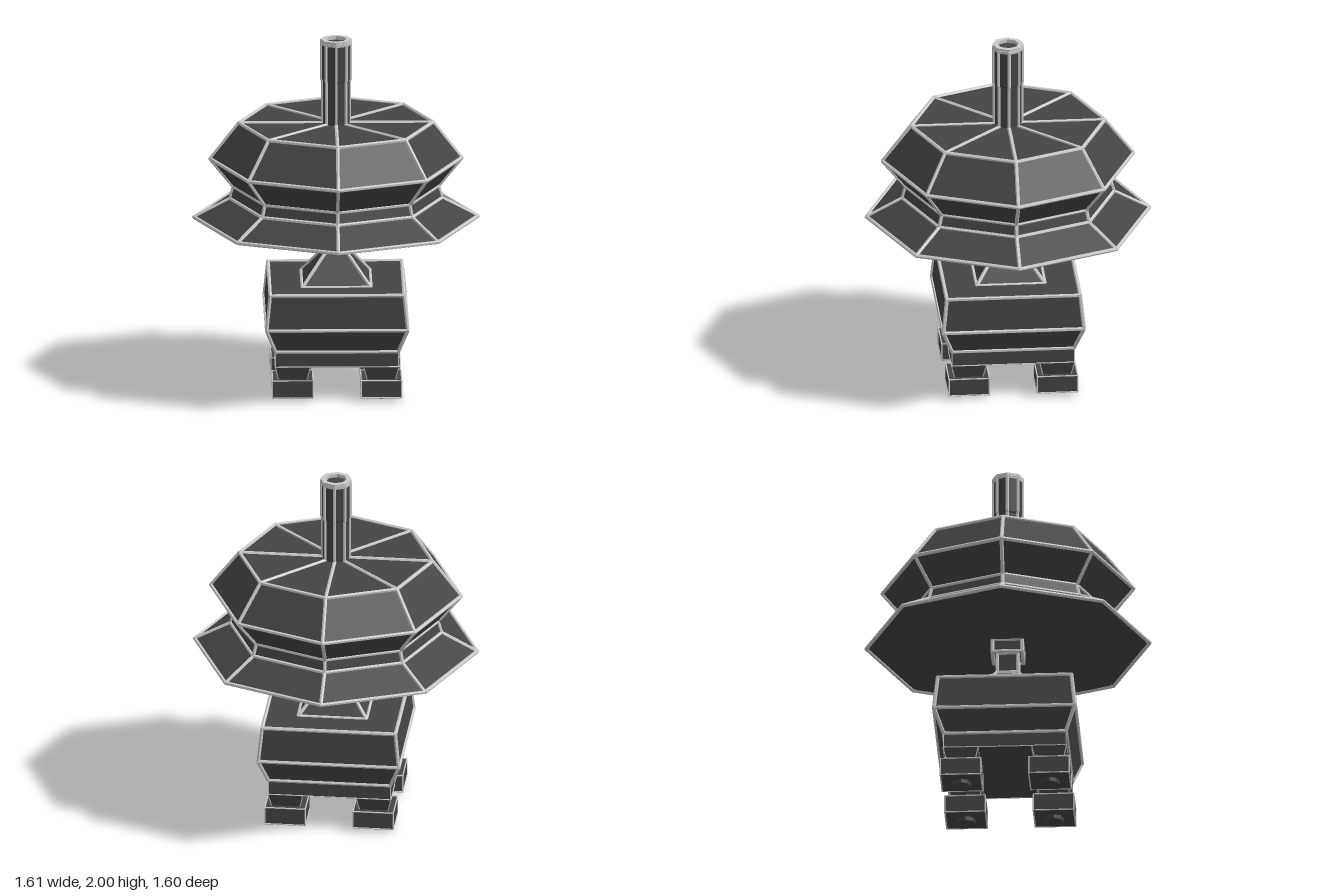
import * as THREE from 'three';
import { mergeGeometries } from 'three/addons/utils/BufferGeometryUtils.js';

const panelMat = new THREE.MeshStandardMaterial({ color: 0x444444, flatShading: true });
const trimMat = new THREE.MeshStandardMaterial({ color: 0xcccccc, flatShading: true });

// Corner i of an n-sided ring of radius r at height y
function corner(n, phase, [r, y], i) {
  const a = phase + (i / n) * Math.PI * 2;
  return new THREE.Vector3(r * Math.sin(a), y, r * Math.cos(a));
}

// Slim bar between two points
function bar(a, b, t) {
  const d = b.clone().sub(a);
  const g = new THREE.CylinderGeometry(t, t, d.length() + t * 0.6, 6);
  g.applyQuaternion(new THREE.Quaternion().setFromUnitVectors(new THREE.Vector3(0, 1, 0), d.normalize()));
  return g.translate((a.x + b.x) / 2, (a.y + b.y) / 2, (a.z + b.z) / 2);
}

// Faceted solid from [radius, y] rings listed upwards, with bars along its edges
function tiered(name, n, rings, t, { hoops = rings.map(() => true), ribs = true, capTop = true } = {}) {
  const group = new THREE.Group();
  group.name = name;
  const phase = n === 4 ? Math.PI / 4 : 0;
  const k = n === 4 ? Math.SQRT2 : 1; // square rings are given by half width
  const inset = rings.map(([r, y], i) => [
    (r - t * 0.8) * k,
    i === 0 ? y + t * 0.8 : i === rings.length - 1 ? y - t * 0.8 : y,
  ]);
  const profile = [[0, inset[0][1]], ...inset];
  if (capTop) profile.push([0, inset[inset.length - 1][1]]);
  const panels = new THREE.Mesh(
    new THREE.LatheGeometry(profile.map(p => new THREE.Vector2(...p)), n, phase), panelMat);
  panels.name = name + 'Panels';
  group.add(panels);

  const bars = [];
  inset.forEach((p, j) => {
    for (let i = 0; i < n; i++) {
      const a = corner(n, phase, p, i);
      if (hoops[j]) bars.push(bar(a, corner(n, phase, p, i + 1), t));
      if (ribs && j) bars.push(bar(corner(n, phase, inset[j - 1], i), a, t));
    }
  });
  const trim = new THREE.Mesh(mergeGeometries(bars), trimMat);
  trim.name = name + 'Trim';
  group.add(trim);
  return group;
}

export function createModel() {
  const model = new THREE.Group();

  // Two-tier octagonal canopy
  const canopy = tiered('canopy', 8, [[0.8, 0.965], [0.6, 1.08], [0.58, 1.15], [0.71, 1.31], [0.55, 1.525]], 0.011);
  model.add(canopy);

  // Spokes across the canopy top
  const spokes = [];
  for (let i = 0; i < 8; i++)
    spokes.push(bar(corner(8, 0, [0.07, 1.516], i), corner(8, 0, [0.54, 1.516], i), 0.011));
  const spokeMesh = new THREE.Mesh(mergeGeometries(spokes), trimMat);
  spokeMesh.name = 'canopySpokes';
  model.add(spokeMesh);

  // Chimney with a rim and a shallow dark mouth
  const chimney = tiered('chimney', 8, [[0.084, 1.5], [0.084, 1.76], [0.088, 1.77], [0.088, 1.99]], 0.009,
    { hoops: [true, false, false, true], capTop: false });
  const rim = new THREE.Mesh(new THREE.LatheGeometry(
    [[0.088, 1.97], [0.088, 2], [0.06, 2], [0.06, 1.97]].map(p => new THREE.Vector2(...p)), 8), trimMat);
  rim.name = 'chimneyRim';
  const mouth = new THREE.Mesh(new THREE.CylinderGeometry(0.075, 0.075, 0.02, 8), panelMat);
  mouth.position.y = 1.97;
  mouth.name = 'chimneyMouth';
  chimney.add(rim, mouth);
  model.add(chimney);

  // Square neck, sloped shoulder and furnace body
  model.add(tiered('collar', 4, [[0.092, 0.895], [0.092, 0.985]], 0.011));
  model.add(tiered('neck', 4, [[0.066, 0.77], [0.066, 0.91]], 0.01));
  model.add(tiered('shoulder', 4, [[0.2, 0.605], [0.065, 0.795]], 0.011));
  model.add(tiered('body', 4, [[0.35, 0.275], [0.402, 0.42], [0.382, 0.625]], 0.011));
  model.add(tiered('base', 4, [[0.345, 0.195], [0.345, 0.29]], 0.003));

  // Four legs with block feet and round studs
  for (const sx of [-1, 1]) for (const sz of [-1, 1]) {
    const leg = new THREE.Group();
    leg.name = 'leg';
    leg.add(tiered('shin', 4, [[0.08, 0.11], [0.1, 0.2]], 0.003));
    leg.add(tiered('foot', 4, [[0.116, 0.02], [0.116, 0.125]], 0.004));
    const stud = new THREE.Mesh(new THREE.CylinderGeometry(0.052, 0.052, 0.03, 8), panelMat);
    stud.position.y = 0.015;
    stud.name = 'stud';
    leg.add(stud);
    leg.position.set(sx * 0.247, 0, sz * 0.247);
    model.add(leg);
  }
  return model;
}
